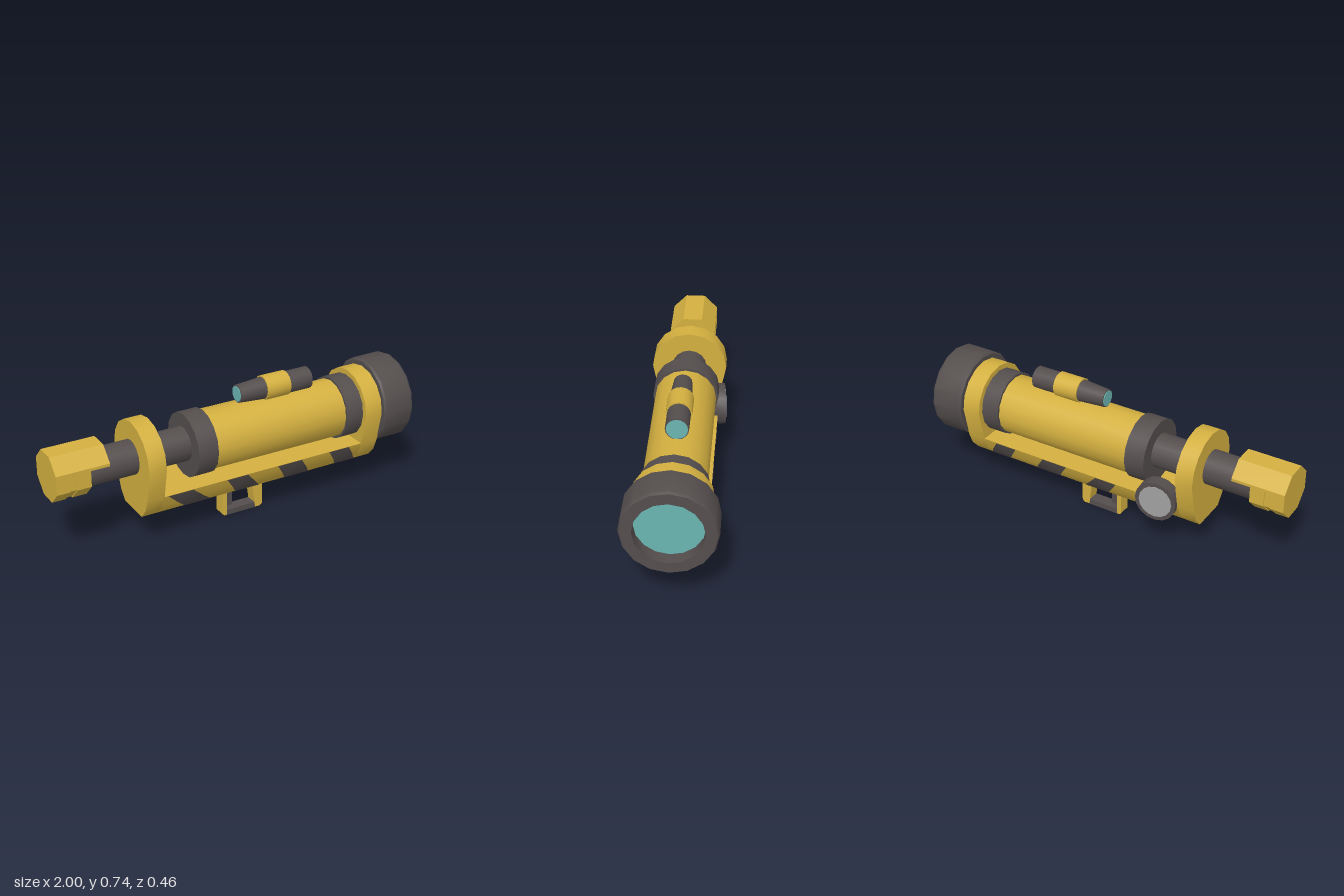
import * as THREE from 'three';
import { toCreasedNormals } from 'three/addons/utils/BufferGeometryUtils.js';

const AXIS = 0.46; // height of the main barrel axis

export function createModel() {
  const model = new THREE.Group();
  model.name = 'shoulderLauncher';

  const material = (name, color) => {
    const m = new THREE.MeshStandardMaterial({ color });
    m.name = name;
    return m;
  };
  const yellow = material('mustardYellow', 0xd4b040);
  const dark = material('charcoal', 0x544e4d);
  const teal = material('tealGlass', 0x6ab4b1);
  const grey = material('lightGrey', 0xa0a0a0);
  const stripeDark = material('stripeCharcoal', 0x544e4d);
  stripeDark.side = THREE.DoubleSide;

  const add = (name, geometry, mat, parent = model) => {
    const mesh = new THREE.Mesh(geometry, mat);
    mesh.name = name;
    parent.add(mesh);
    return mesh;
  };

  // Turned part along x; profile is [x, radius] from low x to high x
  const turned = (name, profile, y, mat, sides = 16) => {
    const points = profile.map(([x, r]) => new THREE.Vector2(r, x));
    const g = new THREE.LatheGeometry(points, sides).rotateZ(-Math.PI / 2);
    const mesh = add(name, toCreasedNormals(g, 0.6), mat);
    mesh.position.y = y;
    return mesh;
  };
  const rod = (name, x0, x1, r0, r1, y, mat, sides) =>
    turned(name, [[x0, 0], [x0, r0], [x1, r1], [x1, 0]], y, mat, sides);

  const shapeOf = (pts) => new THREE.Shape(pts.map(([a, b]) => new THREE.Vector2(a, b)));

  // Prism along x from a symmetric z-y outline
  const prismX = (name, pts, x0, x1, mat) => {
    const g = new THREE.ExtrudeGeometry(shapeOf(pts), { depth: x1 - x0, bevelEnabled: false });
    g.rotateY(Math.PI / 2).translate(x0, 0, 0);
    return add(name, toCreasedNormals(g, 0.6), mat);
  };
  // Prism across z from an x-y outline
  const prismZ = (name, pts, width, mat) => {
    const g = new THREE.ExtrudeGeometry(shapeOf(pts), { depth: width, bevelEnabled: false });
    return add(name, g.translate(0, 0, -width / 2), mat);
  };
  const mirrored = (half) => [...half, ...half.map(([z, y]) => [-z, y]).reverse()];

  // Main barrel, collars and rear tube
  rod('barrel', -0.15, 0.62, 0.158, 0.158, AXIS, yellow);
  rod('rearCollar', -0.26, -0.15, 0.17, 0.17, AXIS, dark);
  rod('frontCollar', 0.62, 0.72, 0.17, 0.17, AXIS, dark);
  rod('rearTube', -0.83, -0.25, 0.091, 0.091, 0.467, dark);

  // Muzzle ring with recessed lens
  turned('muzzleRing', [
    [0.82, 0], [0.82, 0.222], [0.83, 0.231], [0.985, 0.232], [1, 0.224],
    [1, 0.168], [0.93, 0.168],
  ], AXIS, dark);
  rod('muzzleLens', 0.92, 0.935, 0.168, 0.168, AXIS, teal);

  // Cradle: base rail joining two rounded end plates
  const lower = [[0.095, 0.172], [0.14, 0.225], [0.165, 0.292]];
  const arch = [];
  for (let i = 0; i <= 8; i++) {
    const a = (i * Math.PI) / 8;
    arch.push([0.198 * Math.cos(a), AXIS + 0.198 * Math.sin(a)]);
  }
  const plate = [...lower, ...arch, ...lower.map(([z, y]) => [-z, y]).reverse()];
  prismX('rearCradlePlate', plate, -0.55, -0.455, yellow);
  prismX('frontCradlePlate', plate, 0.72, 0.822, yellow);
  prismX('cradleRail', mirrored(lower), -0.46, 0.73, yellow);

  // Slanted hazard stripes on both flanks: [top x0, top x1, bottom x0, bottom x1]
  const stripes = [
    [-0.435, -0.295, -0.31, -0.16], [-0.10, 0.02, -0.015, 0.128],
    [0.20, 0.345, 0.282, 0.43], [0.517, 0.64, 0.597, 0.72],
  ];
  for (const side of [1, -1]) {
    for (const [a, b, c, d] of stripes) {
      const pos = [];
      const idx = [];
      lower.forEach(([z, y], i) => {
        const t = (0.292 - y) / 0.12;
        const zz = side * (z + 0.003);
        pos.push(a + (c - a) * t, y, zz, b + (d - b) * t, y, zz);
        if (i > 0) {
          const k = 2 * i;
          const quad = [k - 2, k - 1, k + 1, k - 2, k + 1, k];
          idx.push(...(side > 0 ? quad : quad.reverse()));
        }
      });
      const g = new THREE.BufferGeometry();
      g.setAttribute('position', new THREE.Float32BufferAttribute(pos, 3));
      g.setIndex(idx);
      g.computeVertexNormals();
      add('hazardStripe', g, stripeDark);
    }
  }

  // Octagonal eyepiece: long upper hood over a shorter grooved lower half
  const hood = [[0.122, 0.515], [0.122, 0.53], [0.051, 0.602]];
  const cup = (s) => mirrored([[0.051 * s, 0.48 - 0.122 * s], [0.122 * s, 0.43], [0.122 * s, 0.515]]);
  prismX('eyepieceHood', mirrored(hood), -1, -0.72, yellow);
  prismX('eyepieceCupRear', cup(1), -1, -0.93, yellow);
  prismX('eyepieceGroove', cup(0.95), -0.93, -0.895, yellow);
  prismX('eyepieceCupFront', cup(1), -0.895, -0.82, yellow);

  // Small sight on top
  const sightY = 0.67;
  rod('sightRear', 0.05, 0.2, 0.047, 0.058, sightY, dark);
  rod('sightBand', 0.198, 0.336, 0.065, 0.065, sightY, yellow);
  rod('sightFront', 0.335, 0.47, 0.058, 0.058, sightY, dark);
  rod('sightRearLens', 0.047, 0.051, 0.041, 0.041, sightY, teal);
  rod('sightFrontLens', 0.469, 0.473, 0.053, 0.053, sightY, teal);

  // Trigger guard grip
  const gripWidth = 0.066;
  prismZ('gripRearPost', [[-0.043, 0.002], [-0.028, 0.002], [-0.028, 0.175], [-0.053, 0.175], [-0.053, 0.012]], gripWidth, yellow);
  prismZ('gripFrontPost', [[0.145, 0.002], [0.175, 0.002], [0.187, 0.014], [0.187, 0.175], [0.122, 0.175]], gripWidth, yellow);
  prismZ('gripBar', [[-0.04, 0], [0.148, 0], [0.148, 0.03], [-0.03, 0.03]], gripWidth - 0.002, dark);
  prismZ('trigger', [[-0.03, 0.05], [0.01, 0.05], [0.01, 0.175], [-0.03, 0.175]], 0.045, dark);

  // Round side lamp, angled slightly backwards
  const lamp = new THREE.Group();
  lamp.name = 'sideLamp';
  lamp.position.set(-0.345, 0.3, -0.167);
  lamp.rotation.y = 0.1;
  model.add(lamp);
  const disc = (name, r, depth, z, mat) => {
    const g = new THREE.CylinderGeometry(r, r, depth, 16).rotateX(Math.PI / 2);
    add(name, toCreasedNormals(g, 0.6), mat, lamp).position.z = z;
  };
  disc('lampHousing', 0.11, 0.064, 0, dark);
  disc('lampGlass', 0.088, 0.006, -0.032, grey);
  disc('lampInnerFace', 0.1, 0.006, 0.032, grey);

  return model;
}
